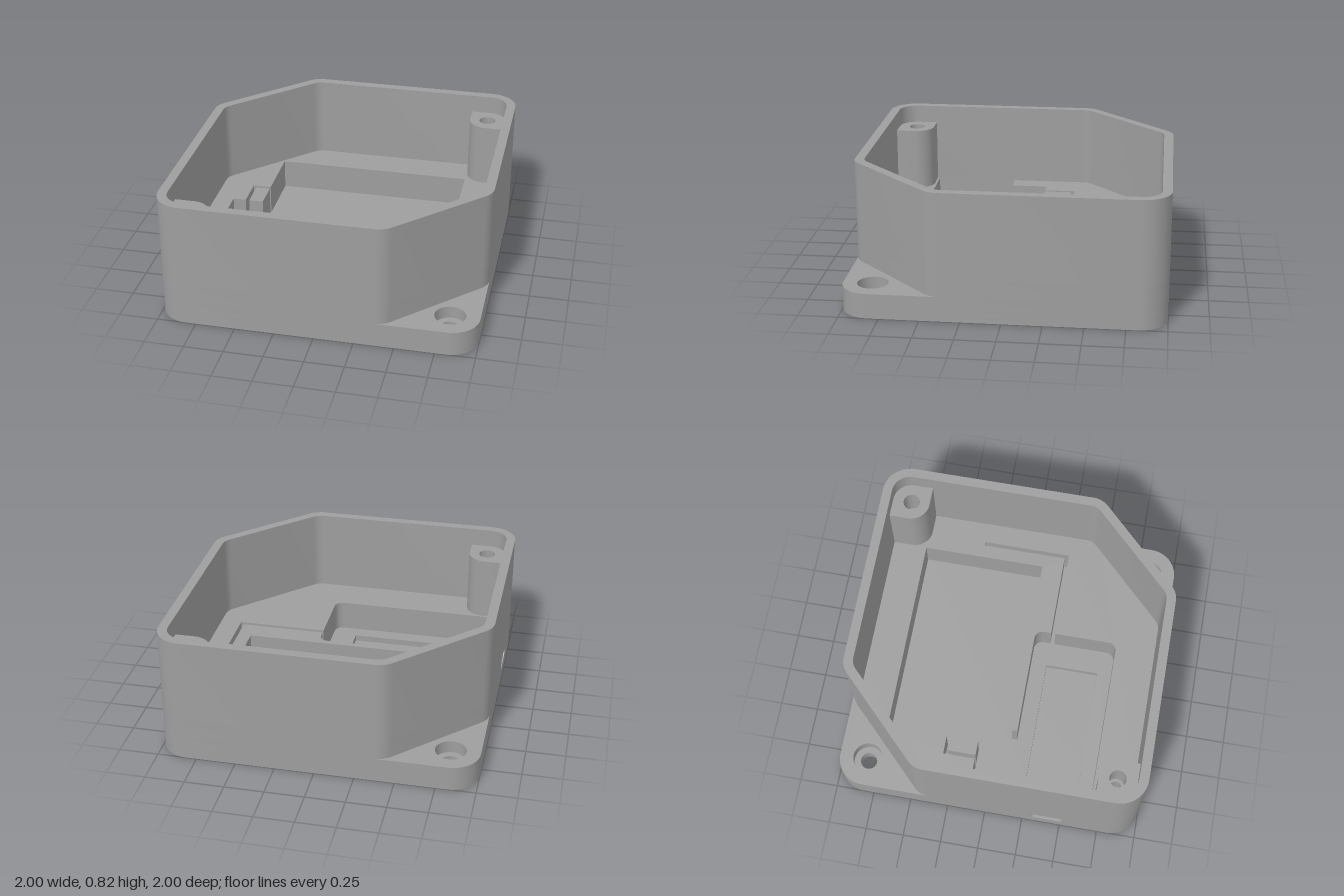
import * as THREE from 'three';
import { toCreasedNormals } from 'three/addons/utils/BufferGeometryUtils.js';

const grey = new THREE.MeshStandardMaterial({ color: 0x9e9e9e });
grey.name = 'grey plastic';

// Plan outline from [x, z, cornerRadius] points; rounded corners become arcs.
function outline(pts, Type = THREE.Path) {
  const out = [];
  const P = pts.map(([x, z]) => new THREE.Vector2(x, -z));
  P.forEach((p, i) => {
    const r = pts[i][2];
    if (!r) return out.push(p);
    const n = P.length;
    const u = P[(i + n - 1) % n].clone().sub(p).normalize();
    const v = P[(i + 1) % n].clone().sub(p).normalize();
    const half = Math.acos(u.dot(v)) / 2;
    const c = u.clone().add(v).normalize().multiplyScalar(r / Math.sin(half)).add(p);
    const start = u.clone().multiplyScalar(r / Math.tan(half)).add(p).sub(c).angle();
    const sweep = (Math.PI - 2 * half) * Math.sign(v.cross(u));
    const steps = 10;
    for (let k = 0; k <= steps; k++) {
      const a = start + sweep * k / steps;
      out.push(new THREE.Vector2(c.x + r * Math.cos(a), c.y + r * Math.sin(a)));
    }
  });
  // Anticlockwise, so that extruded walls and hole walls face the right way
  if (THREE.ShapeUtils.isClockWise(out)) out.reverse();
  return new Type(out);
}

function circle(x, z, r) {
  return new THREE.Path().absarc(x, -z, r, 0, Math.PI * 2);
}

// Horizontal slab between two heights, cut through by holes.
function slab(name, pts, y0, y1, holes = []) {
  const shape = outline(pts, THREE.Shape);
  shape.holes = holes;
  const geo = new THREE.ExtrudeGeometry(shape, { depth: y1 - y0, bevelEnabled: false, curveSegments: 20 });
  geo.rotateX(-Math.PI / 2);
  geo.translate(0, y0, 0);
  const mesh = new THREE.Mesh(toCreasedNormals(geo, 0.6), grey);
  mesh.name = name;
  return mesh;
}

const rect = (x0, x1, z0, z1) => [[x0, z0], [x1, z0], [x1, z1], [x0, z1]];

// Square with two opposite corners cut off at 45 degrees.
const body = (h, c, r, rc) => [
  [-c, -h, rc], [h, -h, r], [h, c, rc],
  [c, h, rc], [-h, h, r], [-h, -c, rc],
];

export function createModel() {
  const model = new THREE.Group();
  model.name = 'enclosure';
  const H = 0.815; // hole centres
  const BASE = 0.16, FLOOR = 0.08, DECK = 0.28, TOP = 0.82;
  const slotZ0 = 0.28, slotZ1 = 0.54;

  const outer = body(1, 0.43, 0.18, 0.14);
  const inner = body(0.94, 0.405, 0.12, 0.1);

  // Sunken compartment with wire channel, starting and ending at the left slot
  const pocket = [
    [-0.94, 0.13], [-0.815, 0.13], [-0.815, -0.11], [-0.73, -0.11], [-0.73, -0.32],
    [-0.61, -0.32], [-0.61, -0.715], [0.69, -0.715], [0.69, 0.095], [-0.497, 0.095],
    [-0.497, 0.13], [0.22, 0.13, 0.055], [0.22, 0.235], [0.777, 0.235], [0.777, -0.32],
    [0.803, -0.32], [0.803, 0.262], [0.22, 0.262], [0.22, 0.68, 0.055], [-0.94, 0.68],
  ];
  const square = [[-1, -1, 0.18], [1, -1, 0.18], [1, 1, 0.18], [-1, 1, 0.18]];
  const notched = [
    ...square, [-1, slotZ1], [-0.94, slotZ1],
    ...[...pocket].reverse(), [-0.94, slotZ0], [-1, slotZ0],
  ];

  const postHoles = (r) => [circle(H, -H, r), circle(-H, H, r)];
  const earHoles = (r) => [circle(H, H, r), circle(-H, -H, r)];
  const screws = () => [...postHoles(0.035), ...earHoles(0.054)];

  // Base plate with a shallow recess, then the pocket layers
  model.add(
    slab('basePlate', square, 0, 0.04, screws()),
    slab('pocketFloor', square, 0.04, FLOOR,
      [...screws(), outline(rect(-0.75, 0.06, 0.235, 0.585))]),
    slab('baseFlange', notched, FLOOR, BASE, [...postHoles(0.035), ...earHoles(0.097)]),
    slab('innerDeck', outer, BASE, DECK, [outline(pocket), ...postHoles(0.035)]),
    slab('outerWall', outer, DECK, TOP, [outline(inner)]),
    slab('retainerBlock', rect(-0.705, -0.61, -0.295, -0.11), FLOOR, DECK),
  );

  // Screw posts in the two full corners
  for (const s of [1, -1]) {
    const pts = [[0.695 * s, -0.95 * s], [0.95 * s, -0.95 * s, 0.13],
      [0.95 * s, -0.695 * s], [0.695 * s, -0.695 * s, 0.12]];
    const post = new THREE.Group();
    post.name = s > 0 ? 'backScrewPost' : 'frontScrewPost';
    post.add(
      slab('postLower', pts, DECK, 0.5, [circle(H * s, -H * s, 0.035)]),
      slab('postUpper', pts, 0.5, 0.7, [circle(H * s, -H * s, 0.054)]),
    );
    model.add(post);
  }

  // Wall piece around the rounded cable slot on the right side
  const frame = new THREE.Shape([
    new THREE.Vector2(slotZ0, FLOOR), new THREE.Vector2(slotZ1, FLOOR),
    new THREE.Vector2(slotZ1, BASE), new THREE.Vector2(slotZ0, BASE),
  ]);
  const slot = new THREE.Path();
  slot.absarc(0.485, 0.12, 0.036, -Math.PI / 2, Math.PI / 2);
  slot.absarc(0.335, 0.12, 0.036, Math.PI / 2, Math.PI * 1.5);
  frame.holes.push(slot);
  const geo = new THREE.ExtrudeGeometry(frame, { depth: 0.06, bevelEnabled: false });
  geo.rotateY(-Math.PI / 2);
  geo.translate(-0.94, 0, 0);
  const surround = new THREE.Mesh(toCreasedNormals(geo, 0.6), grey);
  surround.name = 'cableSlotSurround';
  model.add(surround);

  return model;
}
